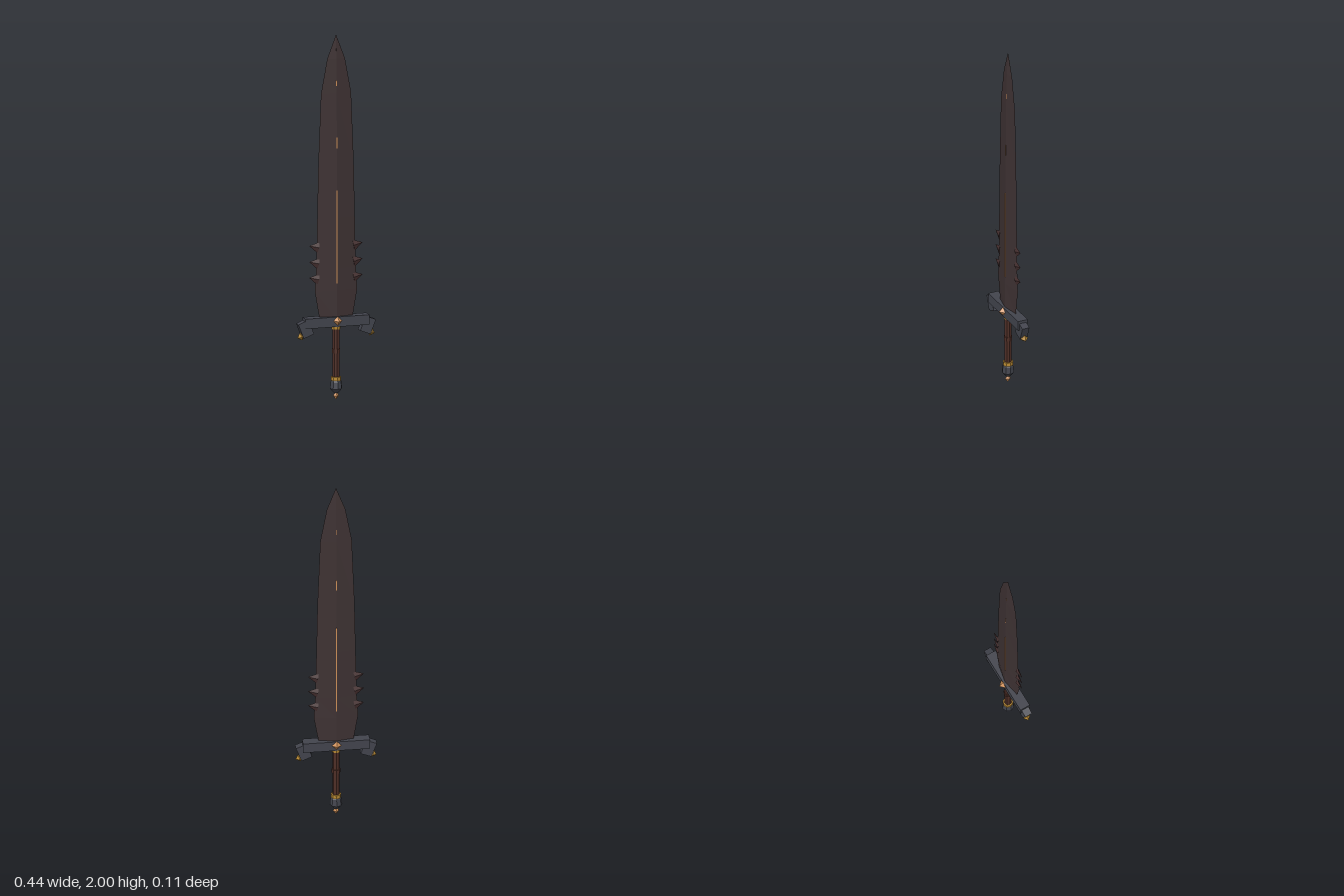
import * as THREE from 'three';

const mat = (name, color) => {
  const m = new THREE.MeshStandardMaterial({ color, flatShading: true });
  m.name = name;
  return m;
};

// Loft of diamond cross-sections; each row is [y, halfWidth, halfDepth]
function diamondLoft(rows) {
  const pos = [];
  const ring = ([y, w, d]) => [[w, y, 0], [0, y, d], [-w, y, 0], [0, y, -d]];
  for (let i = 0; i < rows.length - 1; i++) {
    const a = ring(rows[i]), b = ring(rows[i + 1]);
    for (let j = 0; j < 4; j++) {
      const k = (j + 1) % 4;
      pos.push(...a[j], ...b[k], ...a[k], ...a[j], ...b[j], ...b[k]);
    }
  }
  const g = new THREE.BufferGeometry();
  g.setAttribute('position', new THREE.Float32BufferAttribute(pos, 3));
  g.computeVertexNormals();
  return g;
}

export function createModel() {
  const sword = new THREE.Group();
  sword.name = 'sword';
  const steel = mat('dark blade steel', 0x3e3233);
  const barbSteel = mat('reddish barb steel', 0x452f2f);
  const iron = mat('guard iron', 0x42444d);
  const copper = mat('copper', 0xcf9058);
  const gold = mat('old gold', 0xb98a34);
  const leather = mat('grip leather', 0x4e2e26);

  const add = (name, geo, material, x = 0, y = 0, z = 0) => {
    const m = new THREE.Mesh(geo, material);
    m.name = name;
    m.position.set(x, y, z);
    sword.add(m);
    return m;
  };

  // Blade
  add('blade', diamondLoft([
    [0.44, 0.092, 0.018], [0.6, 0.12, 0.018], [0.72, 0.112, 0.018], [1.0, 0.106, 0.017],
    [1.3, 0.1, 0.015], [1.68, 0.085, 0.011], [1.87, 0.05, 0.007], [2.0, 0.0005, 0.0005],
  ]), steel);

  // Thin copper inlay along the ridge, showing on both faces: [bottom, top, halfDepth]
  for (const [y0, y1, d] of [[0.64, 1.15, 0.0195], [1.38, 1.44, 0.0148], [1.72, 1.75, 0.0112]]) {
    add('ridgeInlay', new THREE.BoxGeometry(0.005, y1 - y0, d * 2), copper, 0, (y0 + y1) / 2, 0);
  }

  // Barbs, three on each edge
  for (const s of [1, -1]) {
    for (const y of [0.675, 0.762, 0.85]) {
      const cone = new THREE.ConeGeometry(0.031, 0.054, 4);
      cone.scale(1, 1, 0.33);
      const barb = add('barb', cone, barbSteel, s * 0.125, y - 0.004, 0);
      barb.rotation.z = -s * (Math.PI / 2 - 0.22);
    }
  }

  // Guard with drooping ends, end studs and centre gems
  add('guard', new THREE.BoxGeometry(0.362, 0.054, 0.058), iron, 0, 0.431, 0);
  for (const s of [1, -1]) {
    const end = add('guardEnd', new THREE.BoxGeometry(0.062, 0.084, 0.042), iron, s * 0.175, 0.4, 0);
    end.rotation.z = -s * 0.37;
    const stud = add('guardStud', new THREE.OctahedronGeometry(0.022), gold, s * 0.198, 0.358, 0);
    stud.rotation.z = -s * 0.37;
    add('guardGem', new THREE.OctahedronGeometry(0.025), copper, 0, 0.436, s * 0.029);
  }

  // Grip
  add('gripCollar', new THREE.CylinderGeometry(0.026, 0.024, 0.022, 8), gold, 0, 0.398, 0);
  add('grip', new THREE.CylinderGeometry(0.02, 0.02, 0.3, 8), leather, 0, 0.255, 0);
  add('gripBand', new THREE.CylinderGeometry(0.024, 0.024, 0.022, 8), leather, 0, 0.268, 0);

  // Pommel
  add('pommelRing', new THREE.CylinderGeometry(0.028, 0.028, 0.02, 8), gold, 0, 0.116, 0);
  const profile = [[0, 0.036], [0.013, 0.038], [0.034, 0.062], [0.03, 0.1], [0.024, 0.107], [0, 0.107]];
  add('pommel', new THREE.LatheGeometry(profile.map(p => new THREE.Vector2(...p)), 8), iron);
  const tip = add('pommelTip', new THREE.OctahedronGeometry(0.017), copper, 0, 0.022, 0);
  tip.scale.y = 1.25;

  return sword;
}
